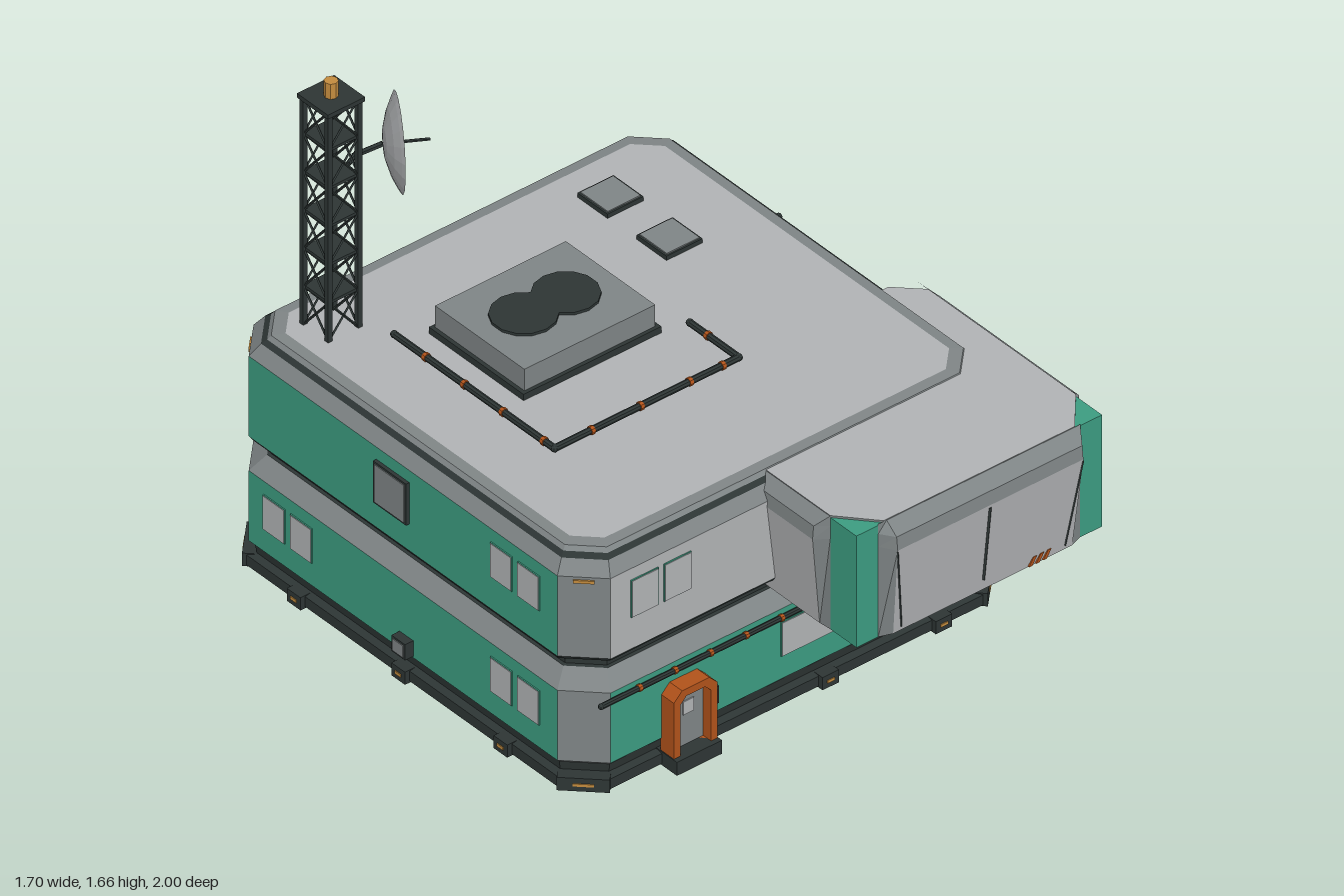
import * as THREE from 'three';

const M = (name, color, extra = {}) => new THREE.MeshStandardMaterial({ name, color, ...extra });
const V = (x, y, z) => new THREE.Vector3(x, y, z);
const CX = -0.035, CZ = -0.185, HALF = 0.795;

export function createModel() {
  const root = new THREE.Group();
  root.name = 'outpostBuilding';
  const light = M('lightGrey', 0xb0b2b4), mid = M('midGrey', 0x7e8485), dark = M('darkMetal', 0x2d3534);
  const green = M('green', 0x3c9b80), orange = M('orange', 0xb0521a), amber = M('amber', 0xc28b3e);
  const dishGrey = M('dishGrey', 0xa4a6a8, { side: THREE.DoubleSide });
  for (const m of [light, mid, dark, green, orange, amber, dishGrey]) m.flatShading = true;

  const add = (name, geo, mat, x = 0, y = 0, z = 0, parent = root) => {
    const mesh = new THREE.Mesh(geo, mat);
    mesh.name = name;
    mesh.position.set(x, y, z);
    parent.add(mesh);
    return mesh;
  };
  // box given by its ranges
  const box = (name, mat, x0, x1, y0, y1, z0, z1, parent) =>
    add(name, new THREE.BoxGeometry(x1 - x0, y1 - y0, z1 - z0), mat, (x0 + x1) / 2, (y0 + y1) / 2, (z0 + z1) / 2, parent);
  // round bar between two points
  const bar = (name, a, b, r, mat, parent = root, sides = 8) => {
    const d = b.clone().sub(a), mid2 = a.clone().add(b).multiplyScalar(0.5);
    const m = add(name, new THREE.CylinderGeometry(r, r, d.length(), sides), mat, mid2.x, mid2.y, mid2.z, parent);
    m.quaternion.setFromUnitVectors(V(0, 1, 0), d.normalize());
    return m;
  };
  // quads between two loops, one material per quad
  const strip = (name, lo, hi, mats, closed = true, parent = root) => {
    const pos = [], g = new THREE.BufferGeometry(), n = closed ? lo.length : lo.length - 1;
    for (let i = 0; i < n; i++) {
      const j = (i + 1) % lo.length;
      for (const p of [lo[i], lo[j], hi[j], lo[i], hi[j], hi[i]]) pos.push(p.x, p.y, p.z);
      g.addGroup(i * 6, 6, i);
    }
    g.setAttribute('position', new THREE.Float32BufferAttribute(pos, 3));
    g.computeVertexNormals();
    return add(name, g, Array.from({ length: n }, (_, i) => mats[i % mats.length]), 0, 0, 0, parent);
  };
  // eight-sided plan, pulled in by an inset
  const octagon = (inset, y) => {
    const h = HALF - inset, k = h - (0.11 - 0.4 * inset);
    return [[-k, h], [k, h], [h, k], [h, -k], [k, -h], [-k, -h], [-h, -k], [-h, k]].map(([x, z]) => V(CX + x, y, CZ + z));
  };
  const cap = (name, loop, mat, up) => {
    const s = new THREE.Shape(loop.map(p => new THREE.Vector2(p.x, up ? -p.z : p.z)));
    const m = add(name, new THREE.ShapeGeometry(s), mat, 0, loop[0].y, 0);
    m.rotation.x = up ? -Math.PI / 2 : Math.PI / 2;
  };

  // storeys as stacked bands: inset, y, then materials of the band above
  const lowerWall = [green, mid, light, mid, green, mid, green, mid];
  const upperWall = [light, mid, light, mid, light, mid, green, mid];
  const levels = [
    [0.005, 0.005, 'baseFrame', [dark]], [0.005, 0.04, 'baseLedge', [dark]], [0.03, 0.045, 'plinth', [dark]],
    [0.025, 0.075, 'lowerSill', [mid]], [0.01, 0.09, 'lowerWall', lowerWall], [0.01, 0.335, 'lowerCornice', [mid]],
    [0.055, 0.385, 'beltLedge', [dark]], [0.065, 0.387, 'belt', [dark]], [0.065, 0.405, 'upperSoffit', [mid]],
    [0.02, 0.44, 'upperSill', [dark]], [0.01, 0.455, 'upperWall', upperWall], [0.01, 0.735, 'roofSlope', [mid]],
    [0.04, 0.775, 'roofBand', [dark]], [0.055, 0.787, 'parapet', [mid]], [0.065, 0.8, 'parapetTop', [mid]],
    [0.1, 0.803],
  ];
  for (let i = 0; i + 1 < levels.length; i++) {
    const [a, y, name, mats] = levels[i], [b, y2] = levels[i + 1];
    strip(name, octagon(a, y), octagon(b, y2), mats);
  }
  cap('roof', octagon(0.1, 0.803), light, true);
  cap('underside', octagon(0.005, 0.005), green, false);

  // a group on a wall: u is x on front and back, z on the sides; local +z points outward
  const onWall = (side, u, y, out = 0) => {
    const g = new THREE.Group(), h = HALF - 0.01 + out;
    if (side === 'front') g.position.set(u, y, CZ + h);
    if (side === 'back') g.position.set(u, y, CZ - h);
    if (side === 'left') g.position.set(CX + h, y, u);
    if (side === 'right') g.position.set(CX - h, y, u);
    g.rotation.y = { front: 0, back: Math.PI, left: Math.PI / 2, right: -Math.PI / 2 }[side];
    root.add(g);
    return g;
  };
  const win = (side, y, w, h, ...us) => us.forEach(u => {
    const g = onWall(side, u, y);
    g.name = 'window';
    box('windowFrame', green, -w / 2, w / 2, -h / 2, h / 2, -0.002, 0.004, g);
    box('windowPane', light, -w / 2 + 0.002, w / 2 - 0.002, -h / 2 + 0.002, h / 2 - 0.002, 0.003, 0.006, g);
  });
  win('front', 0.63, 0.1, 0.13, -0.59, -0.47);
  win('front', 0.23, 0.23, 0.12, 0.025);
  win('left', 0.63, 0.08, 0.12, -0.01, -0.125, -0.24, -0.355);
  win('left', 0.63, 0.095, 0.12, -0.535, -0.65);
  win('left', 0.23, 0.095, 0.12, 0.37, 0.25, -0.535, -0.65);
  win('back', 0.63, 0.1, 0.12, 0.515, 0.4, 0.07, -0.045, -0.4);
  win('back', 0.23, 0.075, 0.12, 0.555, 0.47, 0.385, 0.3, -0.32, -0.425, -0.53, -0.635);
  win('back', 0.23, 0.1, 0.12, 0.06, -0.06);
  win('right', 0.63, 0.095, 0.12, 0.25, 0.37);
  win('right', 0.23, 0.095, 0.12, -0.75, -0.63, 0.25, 0.37);

  // framed vents and small service boxes
  for (const [side, u, y, w, h, d] of [['left', -0.113, 0.218, 0.145, 0.145, 0.012], ['right', -0.23, 0.62, 0.145, 0.145, 0.012],
    ['front', 0.42, 0.128, 0.04, 0.052, 0.025], ['front', 0.557, 0.138, 0.056, 0.066, 0.025], ['front', -0.345, 0.163, 0.025, 0.06, 0.02],
    ['right', -0.17, 0.122, 0.06, 0.055, 0.03], ['back', -0.51, 0.523, 0.06, 0.055, 0.025]]) {
    const g = onWall(side, u, y);
    g.name = 'serviceBox';
    box('boxHousing', dark, -w / 2, w / 2, -h / 2, h / 2, -0.01, d, g);
    box('boxCover', mid, -w / 2 + 0.007, w / 2 - 0.007, -h / 2 + 0.007, h / 2 - 0.007, d - 0.002, d + 0.003, g);
  }
  // slanted hazard stripes
  const stripes = (x, y, z, s) => {
    for (let i = 0; i < 3; i++) {
      const p = [[0, 0], [0.6, 0], [1.4, 1.3], [0.8, 1.3]].map(([a, b]) => new THREE.Vector2(a * s, b * s));
      add('hazardStripe', new THREE.ExtrudeGeometry(new THREE.Shape(p), { depth: 0.006, bevelEnabled: false }), orange, x + i * s * 1.25, y, z);
    }
  };
  stripes(0.468, 0.132, 0.598, 0.014);
  stripes(0.515, 0.403, 0.96, 0.021);

  // feet along the base and amber markers
  for (const [side, us] of [['front', [-0.4, 0.075, 0.49]], ['back', [-0.5, -0.05, 0.45]], ['left', [0.27, -0.18, -0.64]], ['right', [0.27, -0.18, -0.64]]])
    for (const u of us) {
      const g = onWall(side, u, 0.022);
      g.name = 'foot';
      box('footBlock', dark, -0.03, 0.03, -0.022, 0.022, -0.06, 0.022, g);
      box('footMarker', amber, -0.013, 0.013, -0.005, 0.005, 0.02, 0.025, g);
    }
  for (const sx of [-1, 1]) for (const sz of [-1, 1]) {
    const g = new THREE.Group();
    g.name = 'cornerFoot';
    g.position.set(CX + sx * 0.735, 0, CZ + sz * 0.735);
    g.rotation.y = Math.atan2(sx, sz);
    root.add(g);
    box('cornerBlock', dark, -0.075, 0.075, 0, 0.045, -0.05, 0.015, g);
    box('cornerMarker', amber, -0.03, 0.03, 0.018, 0.027, 0.012, 0.018, g);
    box('cornerMarkerTop', amber, -0.03, 0.03, 0.716, 0.726, -0.008, 0.001, g);
  }

  // projecting bay
  box('bayCore', green, -0.1, 0.8, 0.4, 0.79, 0.17, 0.945);
  strip('bayRearLink', [V(0.8, 0.4, 0.18), V(0.72, 0.4, 0.14)], [V(0.8, 0.79, 0.18), V(0.72, 0.79, 0.1)], [mid], false);
  const bayTop = [[-0.1, 0.4], [-0.1, 0.83], [0, 0.945], [0.7, 0.945], [0.8, 0.83], [0.8, 0.18], [0.72, 0.1], [0.6, 0.1]];
  cap('bayRoof', bayTop.map(([x, z]) => V(x, 0.797, z)), light, true);
  strip('bayRoofEdge', bayTop.map(([x, z]) => V(x, 0.788, z)), bayTop.map(([x, z]) => V(x, 0.797, z)), [mid], true);

  // flared wall panel: width w, bevel at each end, depth at top and foot
  const flare = (name, w, b0, b1, d, foot, x, z, turn) => {
    const g = new THREE.Group();
    g.name = name;
    g.position.set(x, 0, z);
    g.rotation.y = turn;
    root.add(g);
    const loop = (y, o, k) => [V(-w / 2, y, 0), V(-w / 2 + b0 * k, y, o), V(w / 2 - b1 * k, y, o), V(w / 2, y, 0)];
    const a = loop(0.4, foot, 1.4), b = loop(0.715, d, 1), c = loop(0.76, d * 0.9, 1), e = loop(0.795, 0.001, 1);
    strip('panelFace', a, b, [mid, light, mid], false, g);
    strip('panelBrow', b, c, [mid], false, g);
    strip('panelTop', c, e, [mid], false, g);
    strip('panelFoot', [a[0], a[3]], [a[1], a[2]], [mid], false, g);
    const at = (u, t) => V(u, 0.4 + 0.315 * t, foot + (d - foot) * t);
    bar('mullion', at(0, 0.12), at(0, 0.97), 0.005, dark, g, 4);
    return g;
  };
  const front = flare('bayFrontPanel', 0.74, 0.03, 0.03, 0.05, 0.015, 0.35, 0.945, 0);
  for (const s of [-1, 1]) bar('edgeTrim', V(s * 0.3, 0.415, 0.018), V(s * 0.34, 0.71, 0.05), 0.003, dark, front, 4);
  flare('baySidePanel', 0.7, 0.03, 0.06, 0.04, 0.004, 0.8, 0.48, Math.PI / 2);
  flare('baySidePanelInner', 0.7, 0.06, 0.03, 0.04, 0.004, -0.1, 0.48, -Math.PI / 2);

  // entrance
  const arch = (w, h, c) => new THREE.Shape([[-w, 0], [w, 0], [w, h - c], [w - c, h], [c - w, h], [-w, h - c]].map(p => new THREE.Vector2(...p)));
  const frame = arch(0.08, 0.225, 0.03);
  frame.holes.push(arch(0.056, 0.2, 0.022));
  add('doorFrame', new THREE.ExtrudeGeometry(frame, { depth: 0.06, bevelEnabled: false }), orange, -0.447, 0.047, 0.595);
  add('door', new THREE.ExtrudeGeometry(arch(0.057, 0.2, 0.022), { depth: 0.025, bevelEnabled: false }), mid, -0.447, 0.047, 0.595);
  box('doorWindow', light, -0.467, -0.427, 0.155, 0.2, 0.618, 0.624);
  box('doorStep', dark, -0.53, -0.365, 0, 0.047, 0.56, 0.672);

  // pipes with clamps: clamps are [point, axis]
  const pipe = (name, pts, r, clamps) => {
    const g = new THREE.Group();
    g.name = name;
    root.add(g);
    pts.forEach((p, i) => {
      add('pipeJoint', new THREE.SphereGeometry(r * 1.1, 8, 6), dark, p.x, p.y, p.z, g);
      if (i) bar('pipeRun', pts[i - 1], p, r, dark, g);
    });
    for (const [p, ax] of clamps) bar('pipeClamp', p.clone().addScaledVector(ax, -0.006), p.clone().addScaledVector(ax, 0.006), r * 1.25, orange, g);
  };
  const X = V(1, 0, 0), Y = V(0, 1, 0), Z = V(0, 0, 1);
  pipe('roofPipe', [V(-0.515, 0.823, -0.59), V(-0.515, 0.823, 0.115), V(0.16, 0.823, 0.115), V(0.16, 0.823, -0.1)], 0.011,
    [...[-0.45, -0.28, -0.11, 0.07].map(z => [V(-0.515, 0.823, z), Z]), ...[-0.38, -0.2, -0.02, 0.1].map(x => [V(x, 0.823, 0.115), X]), [V(0.16, 0.823, -0.02), Z]]);
  pipe('sidePipe', [V(0.772, 0.71, -0.445), V(0.772, 0.09, -0.445), V(0.772, 0.09, -0.01)], 0.01,
    [...[0.57, 0.31, 0.17].map(y => [V(0.772, y, -0.445), Y]), ...[-0.32, -0.19, -0.06].map(z => [V(0.772, 0.09, z), Z])]);
  pipe('frontPipe', [V(-0.76, 0.318, 0.615), V(0.645, 0.318, 0.615), V(0.665, 0.3, 0.615), V(0.665, 0.265, 0.615)], 0.009,
    Array.from({ length: 10 }, (_, i) => [V(-0.62 + i * 0.13, 0.318, 0.615), X]));

  // rooftop ventilation unit and hatches
  box('ventBase', dark, -0.42, 0.085, 0.8, 0.825, -0.552, -0.135);
  box('ventUnit', mid, -0.407, 0.072, 0.82, 0.9, -0.54, -0.147);
  for (const x of [-0.245, -0.09]) add('ventFan', new THREE.CylinderGeometry(0.1, 0.1, 0.012, 14), dark, x, 0.903, -0.345);
  for (const z of [-0.715, -0.455]) {
    box('hatchRim', dark, 0.315, 0.447, 0.8, 0.818, z - 0.066, z + 0.066);
    box('hatchLid', mid, 0.321, 0.441, 0.815, 0.822, z - 0.06, z + 0.06);
  }

  // lattice mast
  const mast = new THREE.Group();
  mast.name = 'mast';
  mast.position.set(-0.605, 0.8, -0.76);
  root.add(mast);
  const w = 0.055, step = 0.8 / 6;
  for (let k = 0; k < 4; k++) {
    const side = new THREE.Group();
    side.name = 'mastSide';
    side.rotation.y = k * Math.PI / 2;
    mast.add(side);
    box('mastLeg', dark, w - 0.008, w + 0.008, 0, 0.8, w - 0.008, w + 0.008, side);
    for (let i = 0; i < 6; i++) for (const s of [-1, 1])
      bar('mastBrace', V(-w * s, i * step, w), V(w * s, (i + 1) * step, w), 0.004, dark, side, 4);
  }
  for (let i = 1; i < 6; i++) box('mastPlate', dark, -w, w, i * step - 0.005, i * step + 0.005, -w, w, mast);
  box('mastTop', dark, -0.068, 0.068, 0.79, 0.805, -0.068, 0.068, mast);
  add('beacon', new THREE.CylinderGeometry(0.021, 0.021, 0.055, 8), amber, 0, 0.83, 0, mast);

  // dish, opening along its local +z
  const dish = new THREE.Group();
  dish.name = 'dish';
  dish.position.set(-0.445, 1.38, -0.725);
  dish.rotation.y = Math.atan2(0.85, 0.53);
  root.add(dish);
  const profile = [0, 0.05, 0.1, 0.135, 0.15].map(r => new THREE.Vector2(r, r * r * 2));
  add('dishBowl', new THREE.LatheGeometry(profile, 18), dishGrey, 0, 0, 0, dish).rotation.x = Math.PI / 2;
  bar('dishFeed', V(0, 0, 0), V(0, 0.003, 0.135), 0.005, dark, dish, 6);
  bar('dishMount', V(0, -0.035, -0.085), V(0, 0, 0), 0.009, dark, dish, 6);
  bar('dishArm', V(-0.55, 1.345, -0.75), V(-0.5, 1.36, -0.765), 0.008, dark);
  return root;
}
